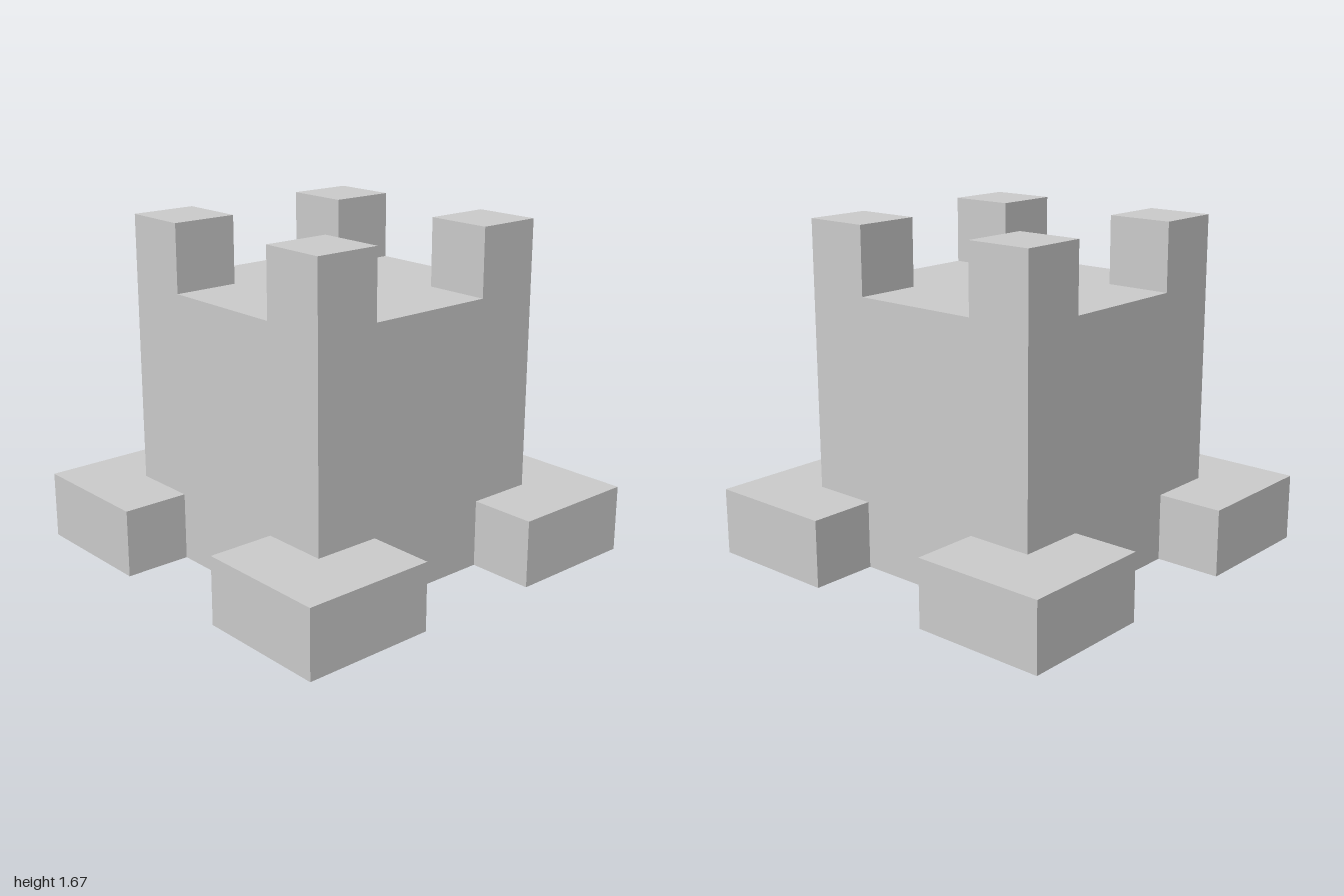
import * as THREE from 'three';

const U = 1 / 3; // the whole tower sits on a grid of this unit

export function createModel() {
  const tower = new THREE.Group();
  tower.name = 'castleTower';
  const material = new THREE.MeshStandardMaterial({ color: 0xcccccc, flatShading: true });

  const add = (parent, name, geometry, x, y, z) => {
    const mesh = new THREE.Mesh(geometry, material);
    mesh.name = name;
    mesh.position.set(x, y, z);
    parent.add(mesh);
  };

  // Square keep
  add(tower, 'keep', new THREE.BoxGeometry(4 * U, 4 * U, 4 * U), 0, 2 * U, 0);

  // L-shaped foot wrapping the outside of one keep corner
  const outline = [[2, 1], [3, 1], [3, 3], [1, 3], [1, 2], [2, 2]];
  const footShape = new THREE.Shape(outline.map(([x, y]) => new THREE.Vector2(x * U, y * U)));
  const footGeometry = new THREE.ExtrudeGeometry(footShape, { depth: U, bevelEnabled: false });
  footGeometry.rotateX(-Math.PI / 2);

  // Corner battlement block
  const merlonGeometry = new THREE.BoxGeometry(U, U, U);

  // Each corner is the same foot and merlon, turned a quarter
  for (let i = 0; i < 4; i++) {
    const corner = new THREE.Group();
    corner.name = `corner${i + 1}`;
    add(corner, 'foot', footGeometry, 0, 0, 0);
    add(corner, 'merlon', merlonGeometry, 1.5 * U, 4.5 * U, -1.5 * U);
    corner.rotation.y = (i * Math.PI) / 2;
    tower.add(corner);
  }

  return tower;
}
